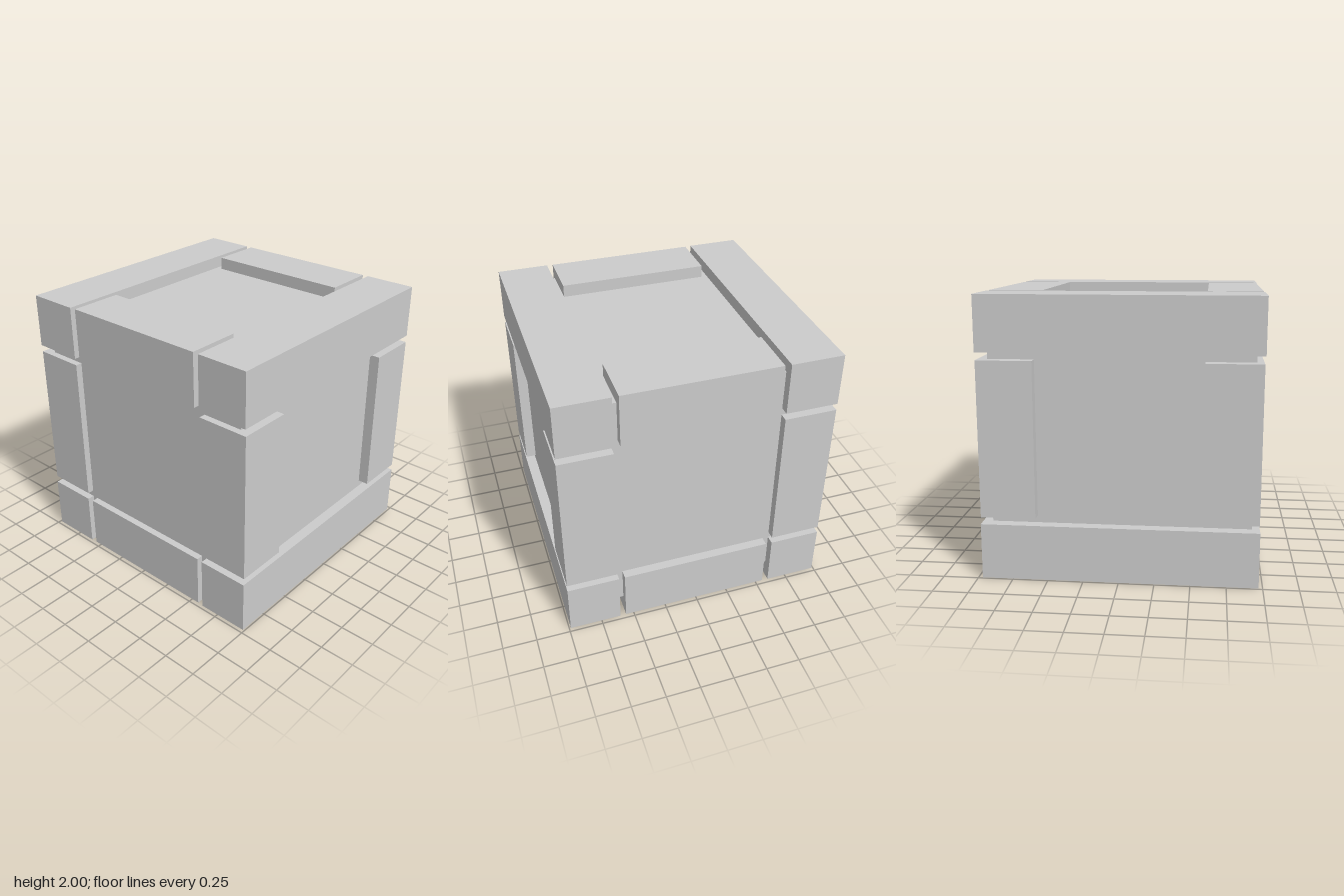
import * as THREE from 'three';

export function createModel() {
  const group = new THREE.Group();
  group.name = 'crate';
  const material = new THREE.MeshStandardMaterial({ color: 0xcccccc, flatShading: true });

  // Box given by its lower and upper limits on each axis
  function block(name, [x0, x1], [y0, y1], [z0, z1]) {
    const mesh = new THREE.Mesh(new THREE.BoxGeometry(x1 - x0, y1 - y0, z1 - z0), material);
    mesh.position.set((x0 + x1) / 2, (y0 + y1) / 2, (z0 + z1) / 2);
    mesh.name = name;
    group.add(mesh);
  }
  const span = (side, inner, outer) => (side > 0 ? [inner, outer] : [-outer, -inner]);

  // Inner body whose faces show as recessed panels
  block('body', [-0.918, 0.902], [0.13, 1.907], [-0.906, 0.91]);

  const levels = { bottom: [0, 0.398], top: [1.61, 2] };
  for (const [level, y] of Object.entries(levels)) {
    for (const s of [-1, 1]) {
      // Full-width beams at front and back
      block(`${level}${s > 0 ? 'Front' : 'Back'}Beam`, [-0.972, 0.97], y, span(s, 0.604, 0.988));
      // Shorter beams between them at the sides
      block(`${level}${s > 0 ? 'Left' : 'Right'}Beam`, span(s, 0.582, 0.968), y, [-0.558, 0.56]);
    }
  }

  // Upright corner posts
  for (const sx of [-1, 1]) {
    for (const sz of [-1, 1]) {
      const name = `${sz > 0 ? 'front' : 'back'}${sx > 0 ? 'Left' : 'Right'}Post`;
      block(name, span(sx, 0.579, 0.967), [0.449, 1.557], span(sz, 0.604, 0.988));
    }
  }
  return group;
}
